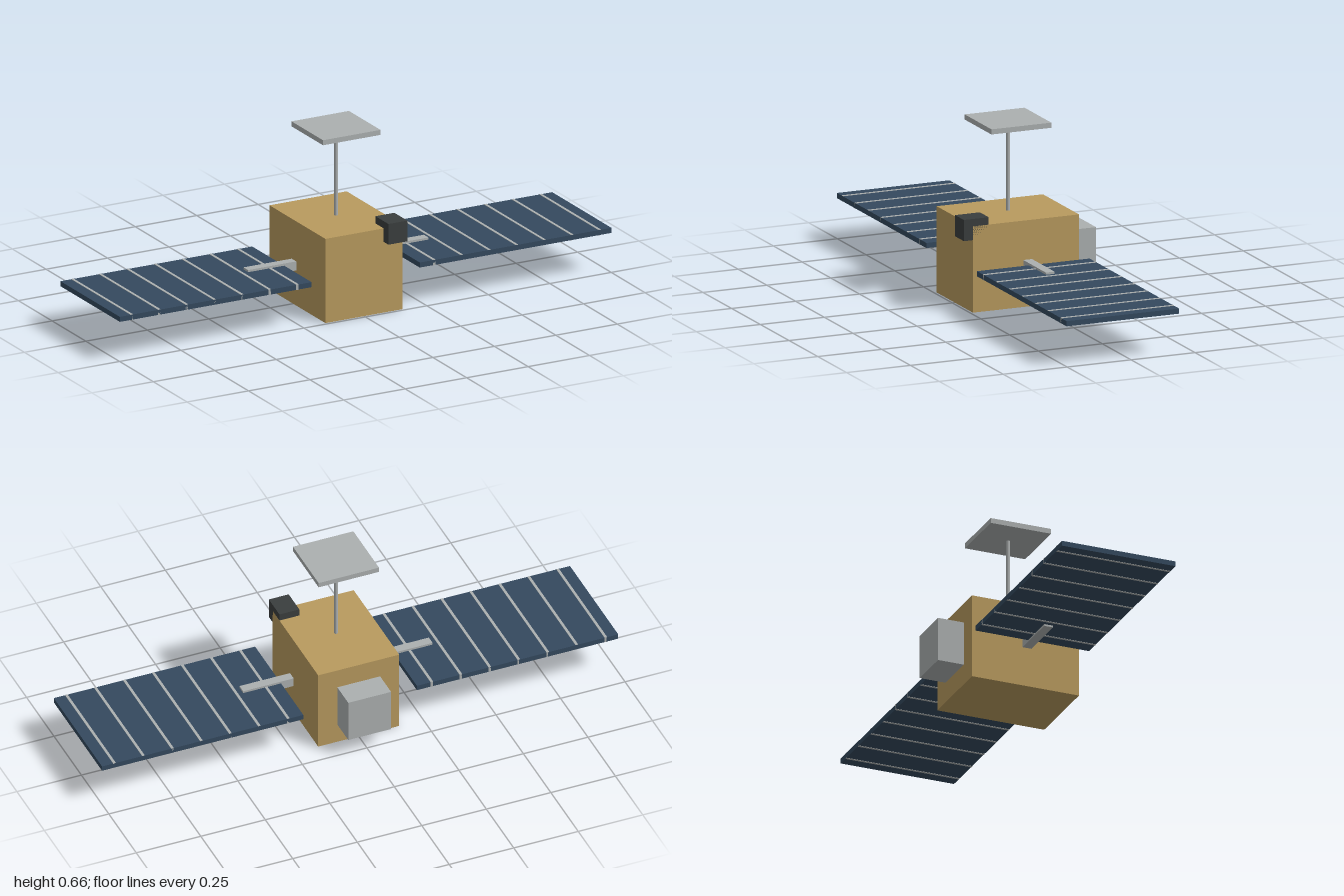
import * as THREE from 'three';

export function createModel() {
  const model = new THREE.Group();
  model.name = 'satellite';

  const material = (name, color) => {
    const m = new THREE.MeshStandardMaterial({ color });
    m.name = name;
    return m;
  };
  const gold = material('gold foil', 0xb89a5e);
  const blue = material('solar blue', 0x34495e);
  const grey = material('light grey metal', 0xacb0b0);
  const dark = material('dark casing', 0x3a3e3e);

  // Box given by its lowest and highest corners
  const box = (name, mat, [x0, y0, z0], [x1, y1, z1], parent = model) => {
    const mesh = new THREE.Mesh(new THREE.BoxGeometry(x1 - x0, y1 - y0, z1 - z0), mat);
    mesh.position.set((x0 + x1) / 2, (y0 + y1) / 2, (z0 + z1) / 2);
    mesh.name = name;
    parent.add(mesh);
    return mesh;
  };

  // Main body with its rear equipment box and corner sensor
  box('body', gold, [-0.157, 0, -0.175], [0.157, 0.318, 0.24]);
  box('rearBox', grey, [-0.083, 0.077, -0.275], [0.083, 0.243, -0.175]);
  box('cornerSensor', dark, [0.08, 0.267, 0.178], [0.157, 0.345, 0.275]);

  // Antenna: thin round mast carrying a flat square plate
  const mast = new THREE.Mesh(new THREE.CylinderGeometry(0.0065, 0.0065, 0.325, 16), grey);
  mast.position.set(0, 0.4775, 0.032);
  mast.name = 'antennaMast';
  model.add(mast);
  box('antennaPlate', grey, [-0.117, 0.637, -0.085], [0.117, 0.656, 0.149]);

  // Solar wings: panel, dividing strips and a short boom on each side
  for (const side of [1, -1]) {
    const wing = new THREE.Group();
    wing.name = side > 0 ? 'leftWing' : 'rightWing';
    model.add(wing);
    const sideBox = (name, mat, [x0, y0, z0], [x1, y1, z1]) => side > 0
      ? box(name, mat, [x0, y0, z0], [x1, y1, z1], wing)
      : box(name, mat, [-x1, y0, z0], [-x0, y1, z1], wing);

    sideBox('solarPanel', blue, [0.22, 0.15, -0.188], [1, 0.169, 0.252]);
    sideBox('boom', grey, [0.171, 0.143, 0.015], [0.367, 0.177, 0.049]);
    for (let i = 0; i < 7; i++) {
      const x = 0.278 + i * 0.1123;
      sideBox('cellDivider', grey, [x - 0.005, 0.149, -0.188], [x + 0.005, 0.1705, 0.252]);
    }
  }
  return model;
}
